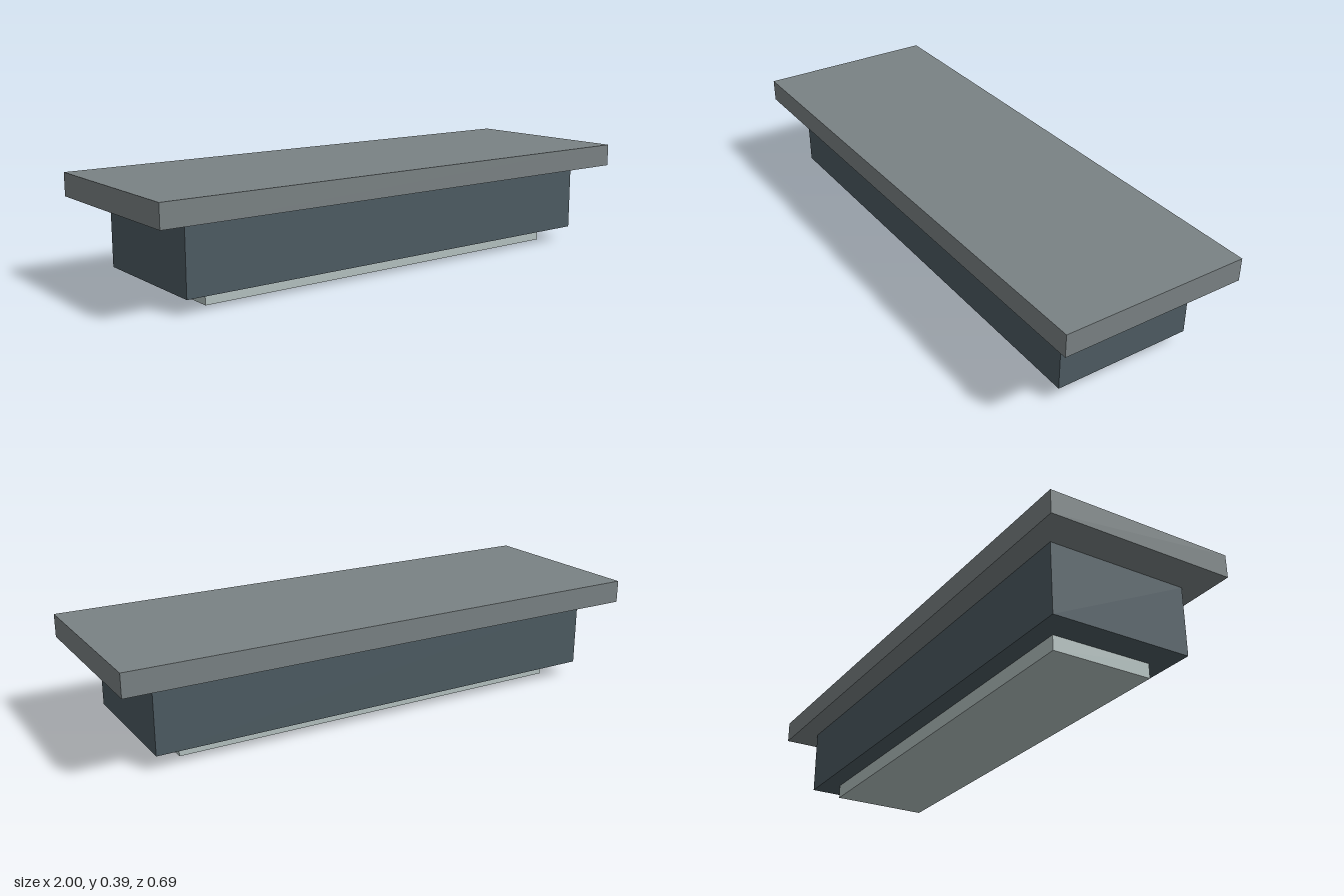
import * as THREE from 'three';

const material = (name, color) => {
  const m = new THREE.MeshStandardMaterial({ color });
  m.name = name;
  return m;
};

// Box standing on the height y0 and reaching y1, centred in x and z
function slab(name, width, depth, y0, y1, mat) {
  const mesh = new THREE.Mesh(new THREE.BoxGeometry(width, y1 - y0, depth), mat);
  mesh.name = name;
  mesh.position.y = (y0 + y1) / 2;
  return mesh;
}

export function createModel() {
  const group = new THREE.Group();
  group.name = 'ceilingLight';

  const grey = material('plate grey', 0x7a8284);
  const slate = material('slate housing', 0x4d5b62);
  const pale = material('pale lens', 0xb4c1c0);

  // Wide mounting plate, narrower housing, and the lens underneath
  group.add(
    slab('mountingPlate', 2, 0.688, 0.303, 0.386, grey),
    slab('housing', 1.75, 0.52, 0.053, 0.303, slate),
    slab('lens', 1.54, 0.375, 0, 0.053, pale),
  );
  return group;
}
